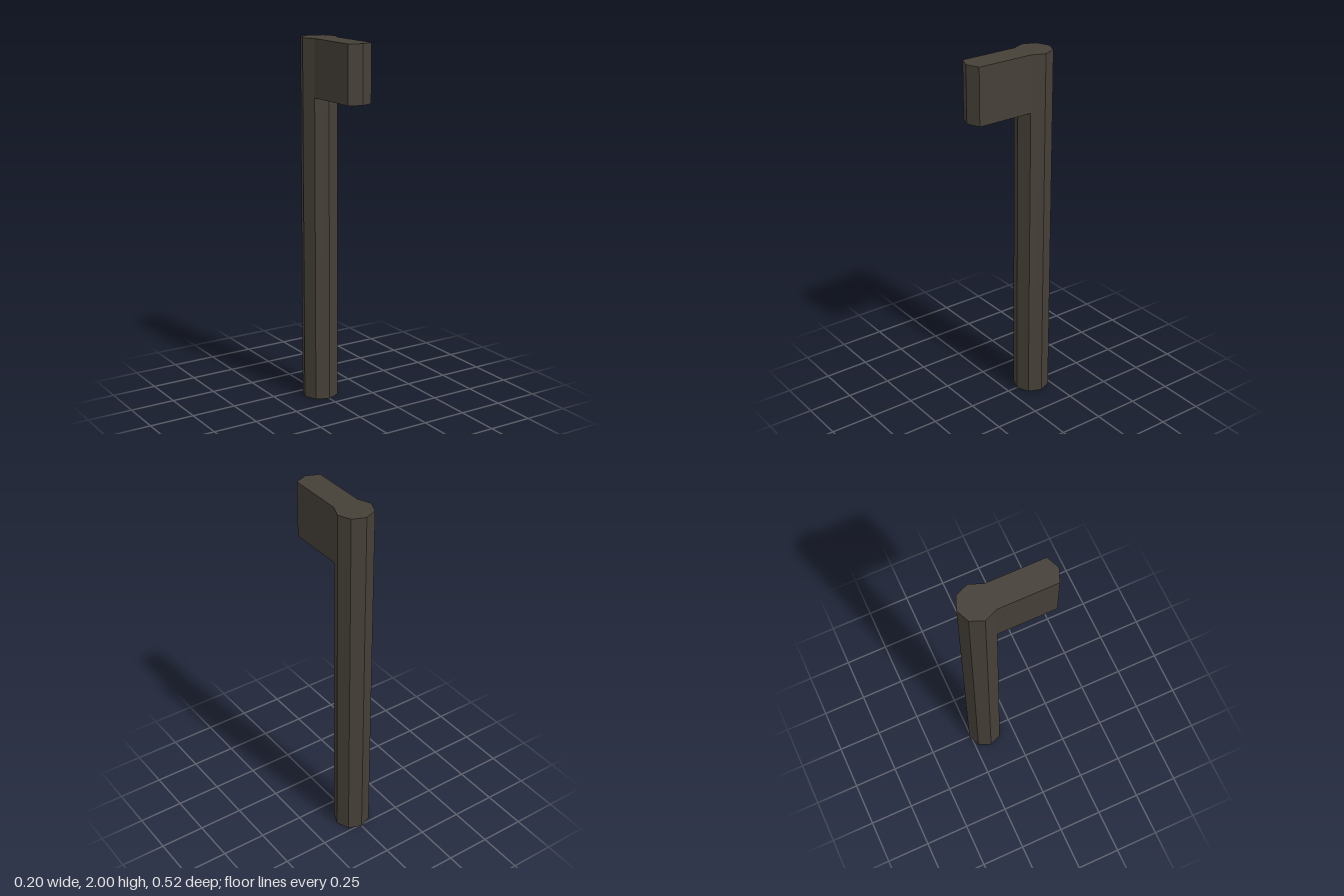
import * as THREE from 'three';

export function createModel() {
  const group = new THREE.Group();
  const darkMetal = new THREE.MeshStandardMaterial({ color: 0x453f37, flatShading: true });
  darkMetal.name = 'darkMetal';

  const radius = 0.1, height = 2, shaftZ = -0.16;
  const armBottom = 1.69, armLength = 0.318;
  const c = radius * Math.SQRT1_2;

  // Upright octagonal shaft
  const shaft = new THREE.Mesh(new THREE.CylinderGeometry(radius, radius, height, 8), darkMetal);
  shaft.name = 'shaft';
  shaft.position.set(0, height / 2, shaftZ);
  group.add(shaft);

  // Forward arm: pointed plan whose back fits the shaft's front facets
  const backSide = shaftZ + c, backTip = shaftZ + radius;
  const plan = [
    [-c, backSide], [-c, backSide + armLength], [0, backTip + armLength],
    [c, backSide + armLength], [c, backSide], [0, backTip],
  ].map(([x, z]) => new THREE.Vector2(x, -z));
  const armGeometry = new THREE.ExtrudeGeometry(new THREE.Shape(plan), {
    depth: height - armBottom, bevelEnabled: false,
  });
  armGeometry.rotateX(-Math.PI / 2);
  const arm = new THREE.Mesh(armGeometry, darkMetal);
  arm.name = 'arm';
  arm.position.y = armBottom;
  group.add(arm);

  return group;
}
